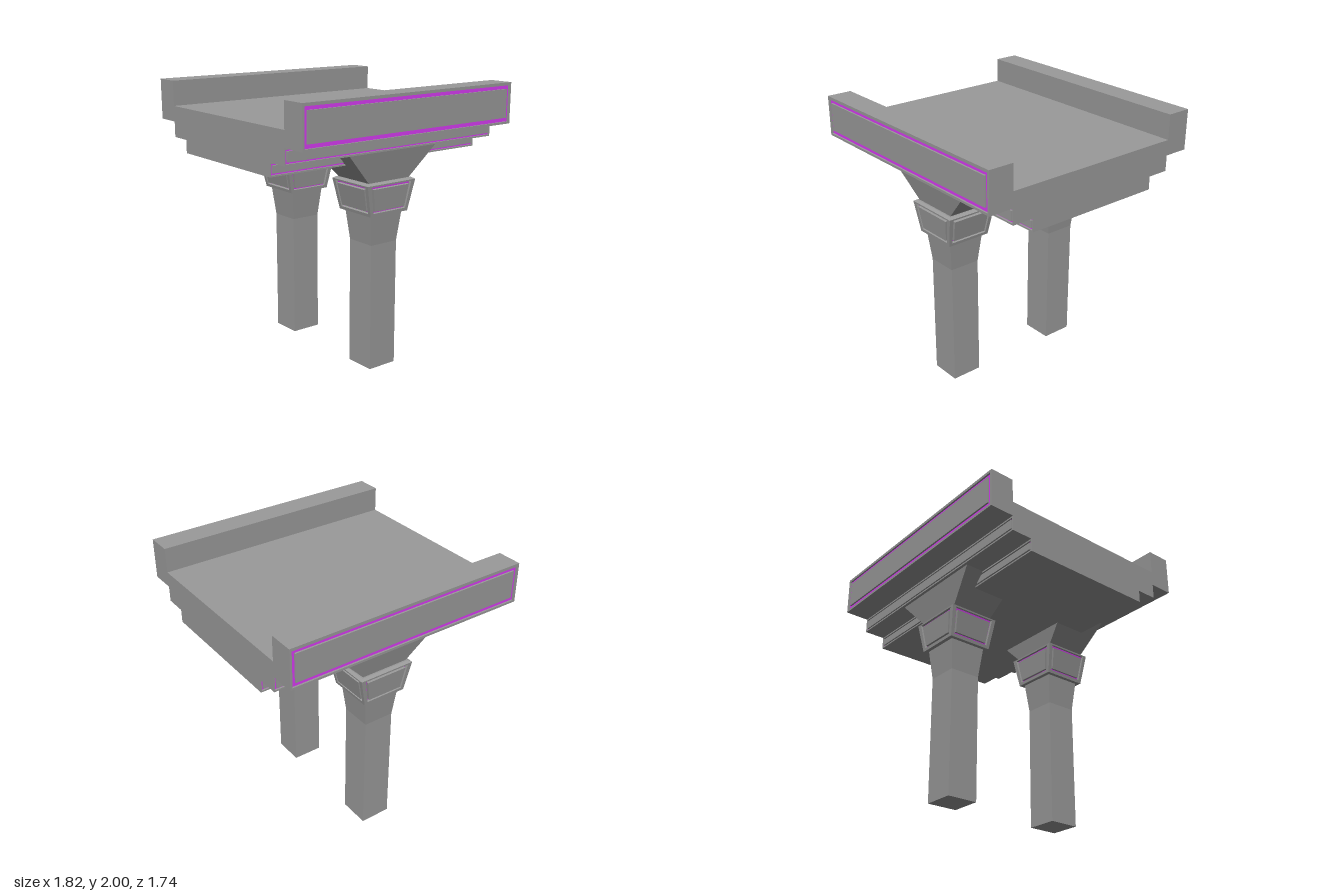
import * as THREE from 'three';

const grey = new THREE.MeshStandardMaterial({ color: 0x9a9a9a });
const purple = new THREE.MeshStandardMaterial({ color: 0xd93cf5 });

const V = (x, y, z) => new THREE.Vector3(x, y, z);

// Corners run counter-clockwise as seen from outside
function quad(out, a, b, c, d) {
  for (const p of [a, b, c, a, c, d]) out.push(p.x, p.y, p.z);
}

function makeMesh(name, positions, material) {
  const g = new THREE.BufferGeometry();
  g.setAttribute('position', new THREE.Float32BufferAttribute(positions, 3));
  g.computeVertexNormals();
  const m = new THREE.Mesh(g, material);
  m.name = name;
  return m;
}

// Face with a sunken coloured ring; ring edges are [u, vBottom, vTop] fractions of the face
function groovedPanel(out, floor, corners, depth, outerRing, innerRing) {
  const [bl, br, tr, tl] = corners;
  const normal = br.clone().sub(bl).cross(tl.clone().sub(bl)).normalize();
  const at = (u, v) => bl.clone().lerp(br, u).lerp(tl.clone().lerp(tr, u), v);
  const ring = ([u, v0, v1]) => [at(u, v0), at(1 - u, v0), at(1 - u, v1), at(u, v1)];
  const sink = (pts) => pts.map((p) => p.clone().addScaledVector(normal, -depth));
  const outer = ring(outerRing), inner = ring(innerRing);
  const outerLow = sink(outer), innerLow = sink(inner);
  const band = (target, a, b) => {
    for (let i = 0; i < 4; i++) {
      const j = (i + 1) % 4;
      quad(target, a[i], a[j], b[j], b[i]);
    }
  };
  band(out, corners, outer);
  band(out, outer, outerLow);
  band(floor, outerLow, innerLow);
  band(out, innerLow, inner);
  quad(out, ...inner);
}

// Stack of rectangular sections [y, halfX, halfZ]; grooved = index of the tier with panels
function loft(name, tiers, grooved = -1) {
  const out = [], floor = [];
  const rings = tiers.map(([y, x, z]) => [V(-x, y, z), V(x, y, z), V(x, y, -z), V(-x, y, -z)]);
  for (let t = 0; t < rings.length - 1; t++) {
    for (let i = 0; i < 4; i++) {
      const j = (i + 1) % 4;
      const face = [rings[t][i], rings[t][j], rings[t + 1][j], rings[t + 1][i]];
      if (t === grooved) groovedPanel(out, floor, face, 0.02, [0.078, 0.1, 0.95], [0.117, 0.16, 0.87]);
      else quad(out, ...face);
    }
  }
  const [a, b, c, d] = rings[0];
  quad(out, d, c, b, a);
  quad(out, ...rings[rings.length - 1]);
  const group = new THREE.Group();
  group.name = name;
  group.add(makeMesh(name + 'Body', out, grey));
  if (floor.length) group.add(makeMesh(name + 'Groove', floor, purple));
  return group;
}

// Stepped deck with a parapet along each long edge
function createDeck() {
  const W = 0.912;
  const half = [[0.525, 1.5], [0.525, 1.595], [0.685, 1.595], [0.685, 1.708],
    [0.868, 1.708], [0.868, 2], [0.685, 2], [0.685, 1.82]];
  const n = half.length;
  const profile = [...half, ...half.map(([z, y]) => [-z, y]).reverse()];
  // Grooves on the outward faces, keyed by profile segment: depth, outer ring, inner ring
  const grooves = {
    0: [0.012, [0.004, 0.11, 0.89], [0.011, 0.23, 0.77]],
    2: [0.012, [0.004, 0.1, 0.9], [0.011, 0.2, 0.81]],
    4: [0.012, [0.009, 0.055, 0.93], [0.022, 0.15, 0.845]],
  };
  const out = [], floor = [];
  profile.forEach(([z0, y0], i) => {
    const [z1, y1] = profile[(i + 1) % profile.length];
    const face = [V(-W, y0, z0), V(W, y0, z0), V(W, y1, z1), V(-W, y1, z1)];
    const mirrored = 2 * n - 2 - i;
    if (grooves[i]) groovedPanel(out, floor, face, ...grooves[i]);
    else if (grooves[mirrored]) {
      // turn the face so that its first edge is the lower one
      groovedPanel(out, floor, [face[2], face[3], face[0], face[1]], ...grooves[mirrored]);
    } else quad(out, ...face);
  });
  // End faces
  const pts = profile.map(([z, y]) => new THREE.Vector2(z, y));
  for (const [a, b, c] of THREE.ShapeUtils.triangulateShape(pts, [])) {
    const ccw = pts[b].clone().sub(pts[a]).cross(pts[c].clone().sub(pts[a])) > 0;
    const tri = ccw ? [a, b, c] : [a, c, b];
    for (const k of tri) out.push(-W, pts[k].y, pts[k].x);
    for (const k of tri.reverse()) out.push(W, pts[k].y, pts[k].x);
  }
  const deck = new THREE.Group();
  deck.name = 'deck';
  deck.add(makeMesh('deckBody', out, grey), makeMesh('deckGrooves', floor, purple));
  return deck;
}

// Column with flared neck, panelled collar and spreading bracket
function createPillar(name) {
  const pillar = new THREE.Group();
  pillar.name = name;
  pillar.add(
    loft('shaft', [[0, 0.115, 0.115], [0.92, 0.115, 0.115], [1.14, 0.139, 0.139]]),
    loft('collar', [[1.14, 0.167, 0.167], [1.363, 0.215, 0.191], [1.375, 0.195, 0.172]], 0),
    loft('bracket', [[1.375, 0.182, 0.16], [1.595, 0.39, 0.207]]),
  );
  return pillar;
}

export function createModel() {
  const model = new THREE.Group();
  model.name = 'bridgeSection';
  model.add(createDeck());
  for (const [name, z] of [['frontPillar', 0.457], ['backPillar', -0.457]]) {
    const pillar = createPillar(name);
    pillar.position.z = z;
    model.add(pillar);
  }
  return model;
}
